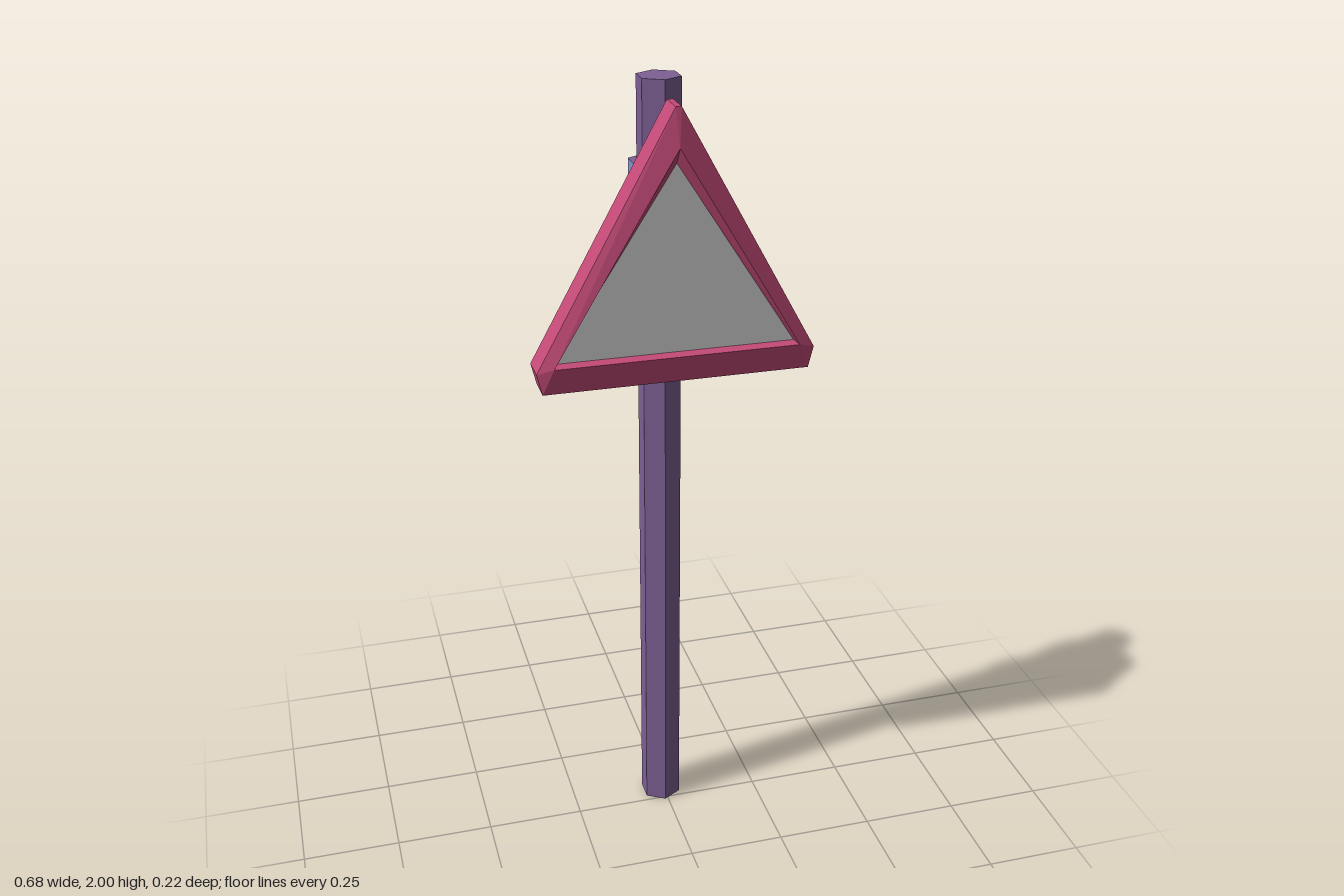
import * as THREE from 'three';

const mat = (name, color) => {
  const m = new THREE.MeshStandardMaterial({ color });
  m.name = name;
  return m;
};

// Flat-shaded skin joining rings of equal point count, each ring listed as [x, y, z]
function skin(rings) {
  const pos = [];
  for (let r = 0; r < rings.length - 1; r++) {
    const a = rings[r], b = rings[r + 1], n = a.length;
    for (let i = 0; i < n; i++) {
      const j = (i + 1) % n;
      pos.push(...a[i], ...a[j], ...b[j], ...a[i], ...b[j], ...b[i]);
    }
  }
  const g = new THREE.BufferGeometry();
  g.setAttribute('position', new THREE.Float32BufferAttribute(pos, 3));
  g.computeVertexNormals();
  return g;
}

// Symmetric six-point ring: half widths and heights of the tip, side corners and base
const ring = (z, tipX, tipY, sideX, sideY, baseX, baseY) => [
  [tipX, tipY, z], [-tipX, tipY, z], [-sideX, sideY, z],
  [-baseX, baseY, z], [baseX, baseY, z], [sideX, sideY, z],
];

const plate = (points) =>
  new THREE.ShapeGeometry(new THREE.Shape(points.map(([x, y]) => new THREE.Vector2(x, y))));

export function createModel() {
  const group = new THREE.Group();
  const purple = mat('polePurple', 0x7e6094);
  const blue = mat('clampBlue', 0x8595cc);
  const red = mat('frameRed', 0xc44a78);
  const grey = mat('panelGrey', 0xcacaca);
  const add = (name, geometry, material) => {
    const mesh = new THREE.Mesh(geometry, material);
    mesh.name = name;
    group.add(mesh);
    return mesh;
  };

  // Hexagonal pole
  const poleGeo = new THREE.CylinderGeometry(0.054, 0.054, 2, 6).toNonIndexed();
  poleGeo.computeVertexNormals();
  add('pole', poleGeo, purple).position.set(-0.008, 1, -0.045);

  // Bevelled triangular frame, from the back edge round to the recessed panel
  const back = ring(0.007, 0.005, 1.942, 0.327, 1.358, 0.314, 1.322);
  const panel = ring(0.08, 0, 1.83, 0.293, 1.376, 0.293, 1.376);
  add('signFrame', skin([
    back,
    ring(0.021, 0.007, 1.96, 0.34, 1.36, 0.327, 1.307),
    ring(0.095, 0.007, 1.96, 0.34, 1.36, 0.327, 1.307),
    ring(0.108, 0, 1.87, 0.3, 1.373, 0.3, 1.373),
    panel,
  ].reverse().map((r) => r.slice().reverse()).reverse().map((r) => r.slice().reverse())), red);

  // Front and back sign panels
  add('frontPanel', plate([panel[0], panel[2], panel[5]]), grey).position.z = 0.08;
  const backPanel = add('backPanel', plate(back), grey);
  backPanel.rotation.y = Math.PI;
  backPanel.position.z = 0.007;

  // Open clamps wrapping the rear of the pole
  const clampShape = new THREE.Shape([
    [-0.075, 0], [-0.075, 0.073], [-0.008, 0.11], [0.059, 0.073], [0.059, 0],
    [0.039, 0.018], [0.039, 0.072], [-0.008, 0.099], [-0.055, 0.072], [-0.055, 0.018],
  ].map(([x, y]) => new THREE.Vector2(x, y)));
  const clampGeo = new THREE.ExtrudeGeometry(clampShape, { depth: 0.115, bevelEnabled: false });
  clampGeo.rotateX(-Math.PI / 2);
  [['lowerClamp', 1.437], ['upperClamp', 1.692]].forEach(([name, y]) => {
    add(name, clampGeo, [purple, blue]).position.y = y;
  });

  return group;
}
